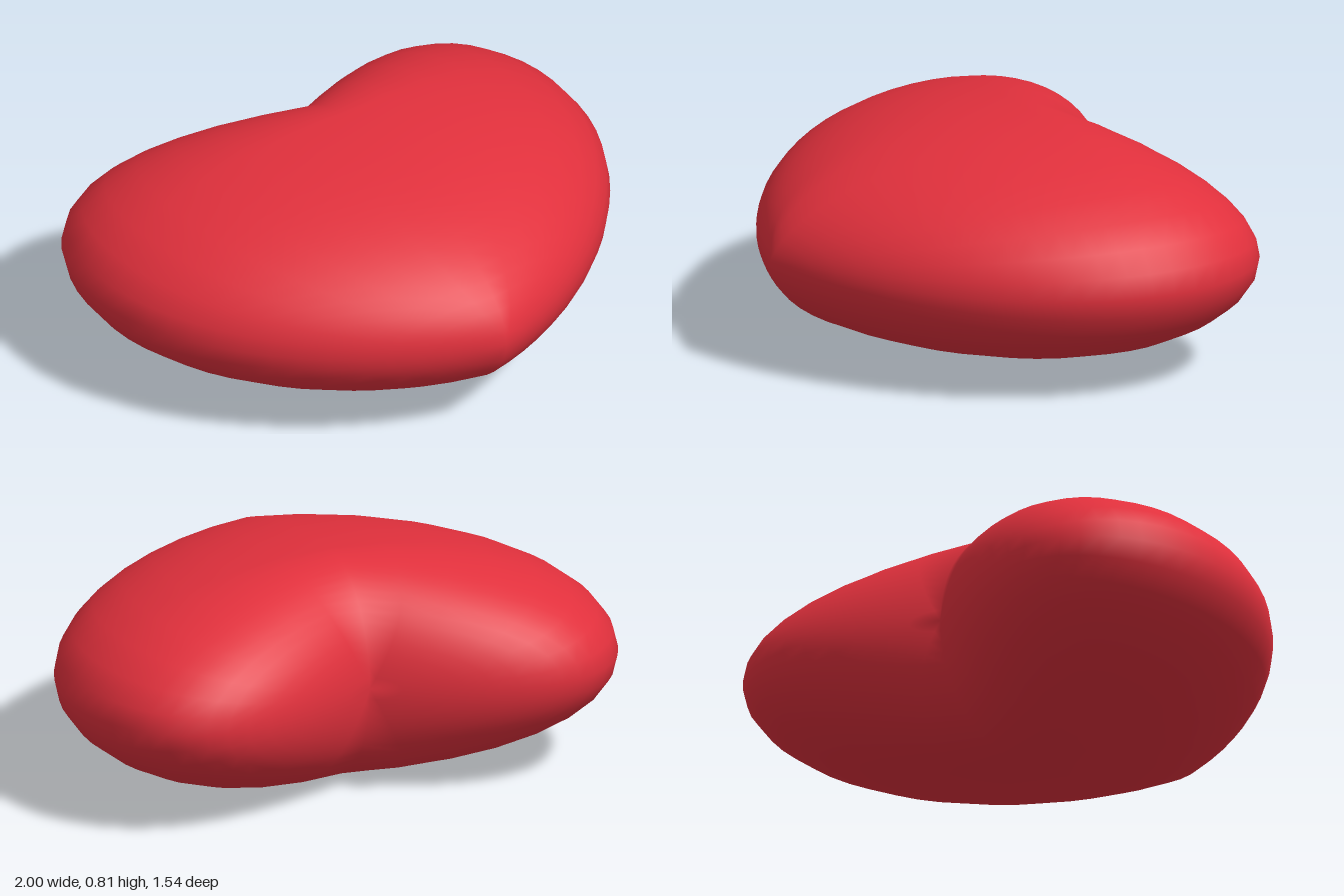
import * as THREE from 'three';
import { mergeVertices } from 'three/addons/utils/BufferGeometryUtils.js';

// Puffed heart lying flat: a sphere with its poles along z, stretched to a tip in front
// and swollen into two lobes behind.
function heartGeometry() {
  const sphere = new THREE.SphereGeometry(1, 32, 32);
  sphere.rotateX(Math.PI / 2); // poles to front and back
  sphere.deleteAttribute('uv');
  sphere.deleteAttribute('normal');
  const geometry = mergeVertices(sphere, 1e-4);
  const p = geometry.attributes.position;
  for (let i = 0; i < p.count; i++) {
    const x = p.getX(i), side = Math.abs(x), c = p.getZ(i);
    // front narrows to the tip, back grows away from the cleft
    const reach = c > 0 ? 0.985 - 0.16 * side : 0.34 + 0.52 * side;
    p.setXYZ(i, x, 0.41 + 0.407 * p.getY(i), -0.22 - 0.06 * side + reach * c);
  }
  geometry.computeVertexNormals();
  return geometry;
}

export function createModel() {
  const group = new THREE.Group();
  group.name = 'heartModel';
  const heart = new THREE.Mesh(
    heartGeometry(),
    new THREE.MeshStandardMaterial({ color: 0xe0303c })
  );
  heart.name = 'heart';
  group.add(heart);
  return group;
}
